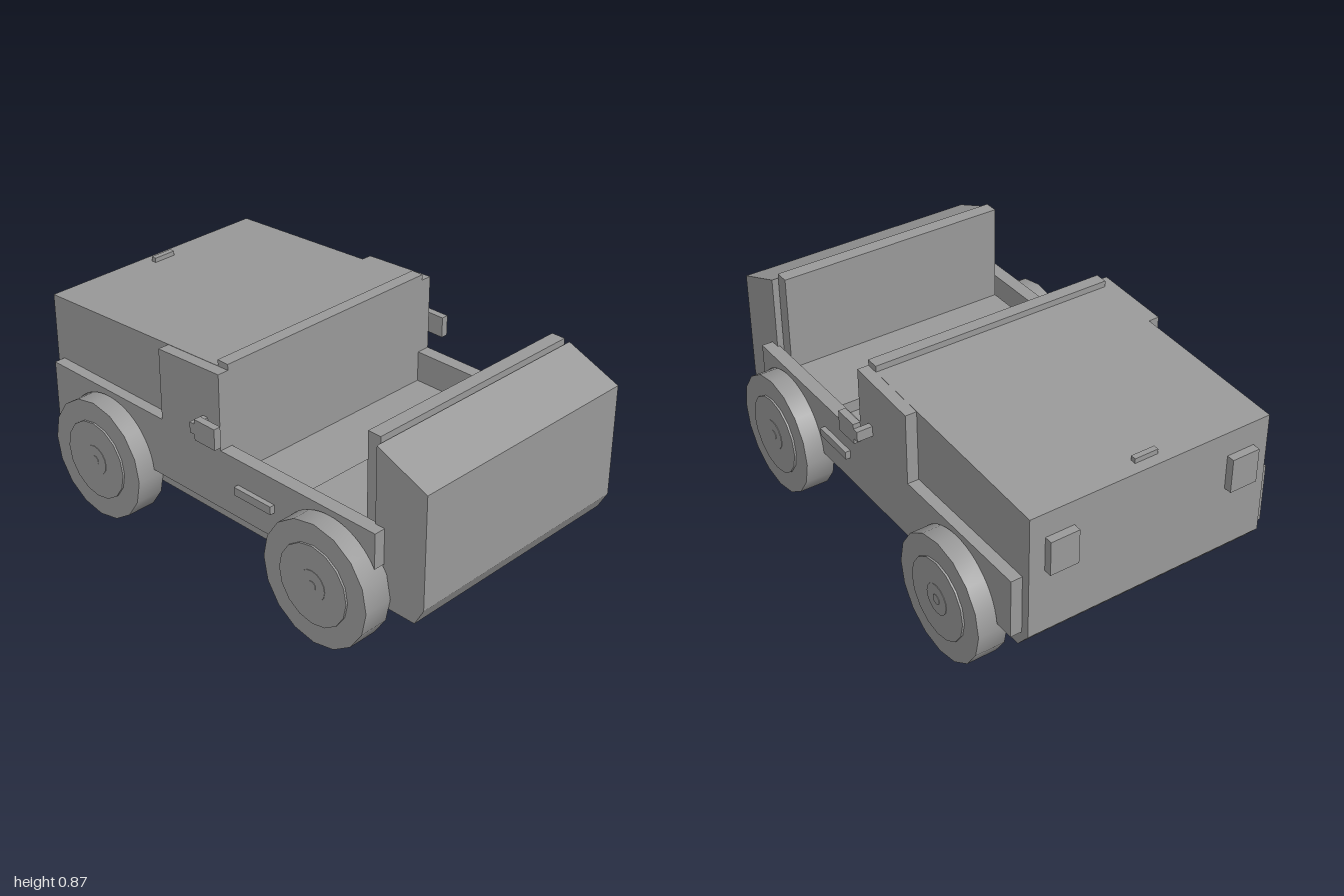
import * as THREE from 'three';
import { toCreasedNormals } from 'three/addons/utils/BufferGeometryUtils.js';

export function createModel() {
  const car = new THREE.Group();
  car.name = 'openUtilityCar';
  const flat = new THREE.MeshStandardMaterial({ color: 0x999999, flatShading: true });
  const smooth = new THREE.MeshStandardMaterial({ color: 0x999999 });

  const add = (name, geometry, material = flat) => {
    const mesh = new THREE.Mesh(geometry, material);
    mesh.name = name;
    car.add(mesh);
    return mesh;
  };
  // Box given by its limits on each axis
  const box = (name, x0, x1, y0, y1, z0, z1) =>
    add(name, new THREE.BoxGeometry(x1 - x0, y1 - y0, Math.abs(z1 - z0)))
      .position.set((x0 + x1) / 2, (y0 + y1) / 2, (z0 + z1) / 2);
  // Side-view shape extruded between two z values
  const slab = (name, shape, z0, z1) => {
    const geometry = new THREE.ExtrudeGeometry(shape, { depth: z1 - z0, bevelEnabled: false, curveSegments: 12 });
    geometry.translate(0, 0, z0);
    add(name, geometry);
  };

  // Hood, open tub and tail in one side profile
  const body = new THREE.Shape([
    [-0.967, 0.28], [-0.907, 0.207], [0.96, 0.207], [1, 0.28], [1, 0.746], [0.77, 0.841],
    [0.77, 0.4], [0.043, 0.4], [0.043, 0.847], [-0.967, 0.799],
  ].map(([x, y]) => new THREE.Vector2(x, y)));
  slab('body', body, -0.52, 0.52);

  // Outer side panel with wheel arches and a raised section beside the hood
  const wheelX = 0.597, radius = 0.2525, wheelY = radius;
  const low = Math.asin((0.28 - wheelY) / radius);
  const rearEnd = Math.acos((0.813 - wheelX) / radius);
  const panel = new THREE.Shape();
  panel.moveTo(-0.93, 0.53);
  panel.lineTo(-0.93, 0.28);
  panel.absarc(-wheelX, wheelY, radius, Math.PI - low, low, true);
  panel.absarc(wheelX, wheelY, radius, Math.PI - low, rearEnd, true);
  panel.lineTo(0.813, 0.53);
  panel.lineTo(0.043, 0.53);
  panel.lineTo(0.043, 0.846);
  panel.lineTo(-0.282, 0.83);
  panel.lineTo(-0.282, 0.53);
  slab('leftSidePanel', panel, 0.52, 0.567);
  slab('rightSidePanel', panel, -0.567, -0.52);

  // Cowl strip, hood ornament and seat
  box('cowlStrip', -0.01, 0.043, 0.82, 0.87, -0.52, 0.52);
  box('hoodOrnament', -0.923, -0.9, 0.79, 0.821, -0.05, 0.05);
  box('seatCushion', 0.373, 0.707, 0.39, 0.45, -0.495, 0.495);
  box('seatBack', 0.707, 0.765, 0.39, 0.863, -0.495, 0.495);

  // Wheel turned about its axle: tire, raised disc, hub and axle cap
  const profile = [
    [0, 0.523], [radius, 0.523], [radius, 0.645], [0.165, 0.645], [0.165, 0.653],
    [0.063, 0.653], [0.063, 0.655], [0.02, 0.655], [0.02, 0.657], [0, 0.657],
  ].map(([r, h]) => new THREE.Vector2(r, h));
  const wheel = toCreasedNormals(new THREE.LatheGeometry(profile, 16).rotateX(Math.PI / 2), 0.5);

  for (const s of [1, -1]) {
    const side = s > 0 ? 'left' : 'right';
    box(side + 'TubWall', 0.04, 0.77, 0.39, 0.53, s * 0.51, s * 0.521);
    box(side + 'Headlight', -1, -0.965, 0.552, 0.696, s * 0.335, s * 0.455);
    box(side + 'DoorHandle', 0.132, 0.322, 0.389, 0.423, s * 0.565, s * 0.588);
    box(side + 'MirrorArm', -0.047, -0.022, 0.6, 0.644, s * 0.565, s * 0.633);
    box(side + 'Mirror', -0.022, 0.085, 0.577, 0.664, s * 0.603, s * 0.633);
    for (const end of [-1, 1]) {
      const mesh = add(side + (end < 0 ? 'FrontWheel' : 'RearWheel'), wheel, smooth);
      mesh.position.set(end * wheelX, wheelY, 0);
      if (s < 0) mesh.rotation.y = Math.PI;
    }
  }
  return car;
}
